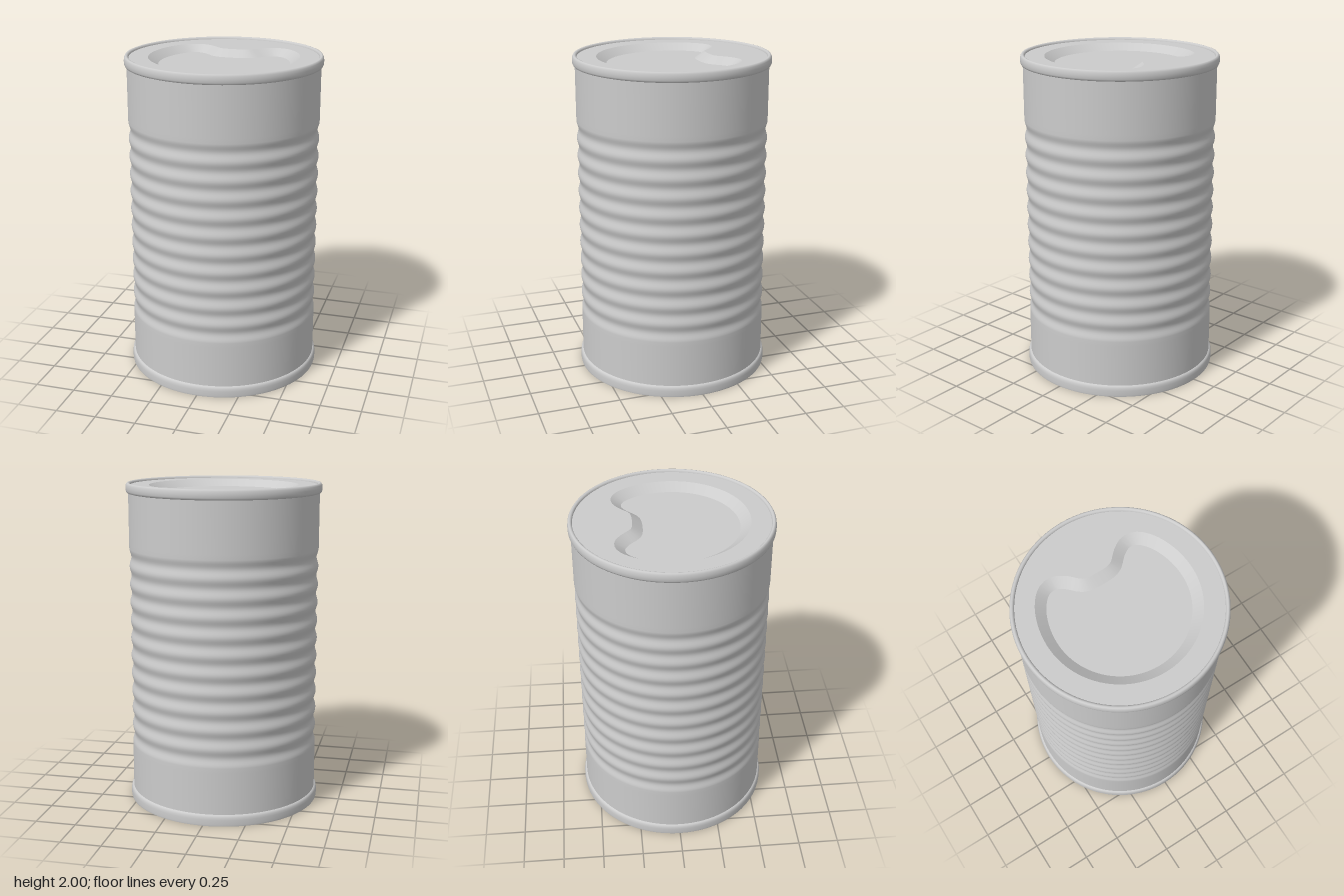
import * as THREE from 'three';

const SEG = 96;
const LID_Y = 1.985, FLOOR_Y = 1.943;

export function createModel() {
  const can = new THREE.Group();
  can.name = 'tinCan';
  const material = new THREE.MeshStandardMaterial({ color: 0xcccccc });

  const add = (name, geometry, y = 0) => {
    const mesh = new THREE.Mesh(geometry, material);
    mesh.name = name;
    mesh.position.y = y;
    can.add(mesh);
  };
  const lathe = (pts) => new THREE.LatheGeometry(pts.map(([r, y]) => new THREE.Vector2(r, y)), SEG);
  const flat = (shape) => new THREE.ShapeGeometry(shape, SEG).rotateX(-Math.PI / 2);

  // Body: straight ends with eleven rounded grooves between them
  const grooves = 11, steps = 10, pitch = 0.113, start = 0.36, radius = 0.585;
  const profile = [[radius, 0.05], [radius, start - 0.03]];
  for (let i = 0; i <= grooves * steps; i++) {
    const depth = 0.006 * (1 - Math.cos((i / steps) * Math.PI * 2));
    profile.push([radius - depth, start + (i / steps) * pitch]);
  }
  profile.push([radius, start + grooves * pitch + 0.03], [radius, 1.95]);
  add('body', lathe(profile));

  // Rolled rims
  add('bottomRim', lathe([[0.598, 0], [0.6, 0.01], [0.6, 0.04], [0.598, 0.055], [0.593, 0.066], [0.584, 0.07]]));
  add('topRim', lathe([
    [0.584, 1.938], [0.594, 1.941], [0.599, 1.952], [0.6, 1.97], [0.598, 1.988],
    [0.592, 1.998], [0.585, 2], [0.578, 1.997], [0.573, 1.991], [0.572, 1.983],
  ]));

  // Flat base
  add('base', new THREE.CircleGeometry(0.598, SEG).rotateX(Math.PI / 2));

  // Centre line of the lid's pressed step: a circle with a notched back edge
  const half = [[0.425, 0], [0.41, 0.12], [0.365, 0.23], [0.3, 0.3], [0.235, 0.312], [0.175, 0.28], [0.1, 0.213]];
  const line = [...half, [0, 0.2], ...half.slice().reverse().map(([x, y]) => [-x, y])];
  for (let i = 1; i < 12; i++) {
    const a = Math.PI * (1 + i / 12);
    line.push([0.425 * Math.cos(a), 0.425 * Math.sin(a)]);
  }
  const curve = new THREE.CatmullRomCurve3(line.map(([x, y]) => new THREE.Vector3(x, y, 0)), true);
  const count = 96;
  const offset = (d) => Array.from({ length: count }, (_, i) => {
    const p = curve.getPointAt(i / count), t = curve.getTangentAt(i / count);
    return new THREE.Vector2(p.x + t.y * d, p.y - t.x * d);
  });
  const outer = offset(0.03), inner = offset(-0.03);

  // Lid around the step, and the sunken panel inside it
  const lid = new THREE.Shape().absarc(0, 0, 0.574, 0, Math.PI * 2);
  lid.holes.push(new THREE.Path(outer));
  add('lid', flat(lid), LID_Y);
  add('sunkenPanel', flat(new THREE.Shape(inner)), FLOOR_Y);

  // Sloping wall joining lid and panel
  const positions = [], index = [];
  for (let i = 0; i < count; i++) {
    positions.push(outer[i].x, LID_Y, -outer[i].y, inner[i].x, FLOOR_Y, -inner[i].y);
    const a = 2 * i, b = 2 * ((i + 1) % count);
    index.push(a, b, a + 1, b, b + 1, a + 1);
  }
  const wall = new THREE.BufferGeometry();
  wall.setAttribute('position', new THREE.Float32BufferAttribute(positions, 3));
  wall.setIndex(index);
  wall.computeVertexNormals();
  add('panelStep', wall);

  return can;
}
